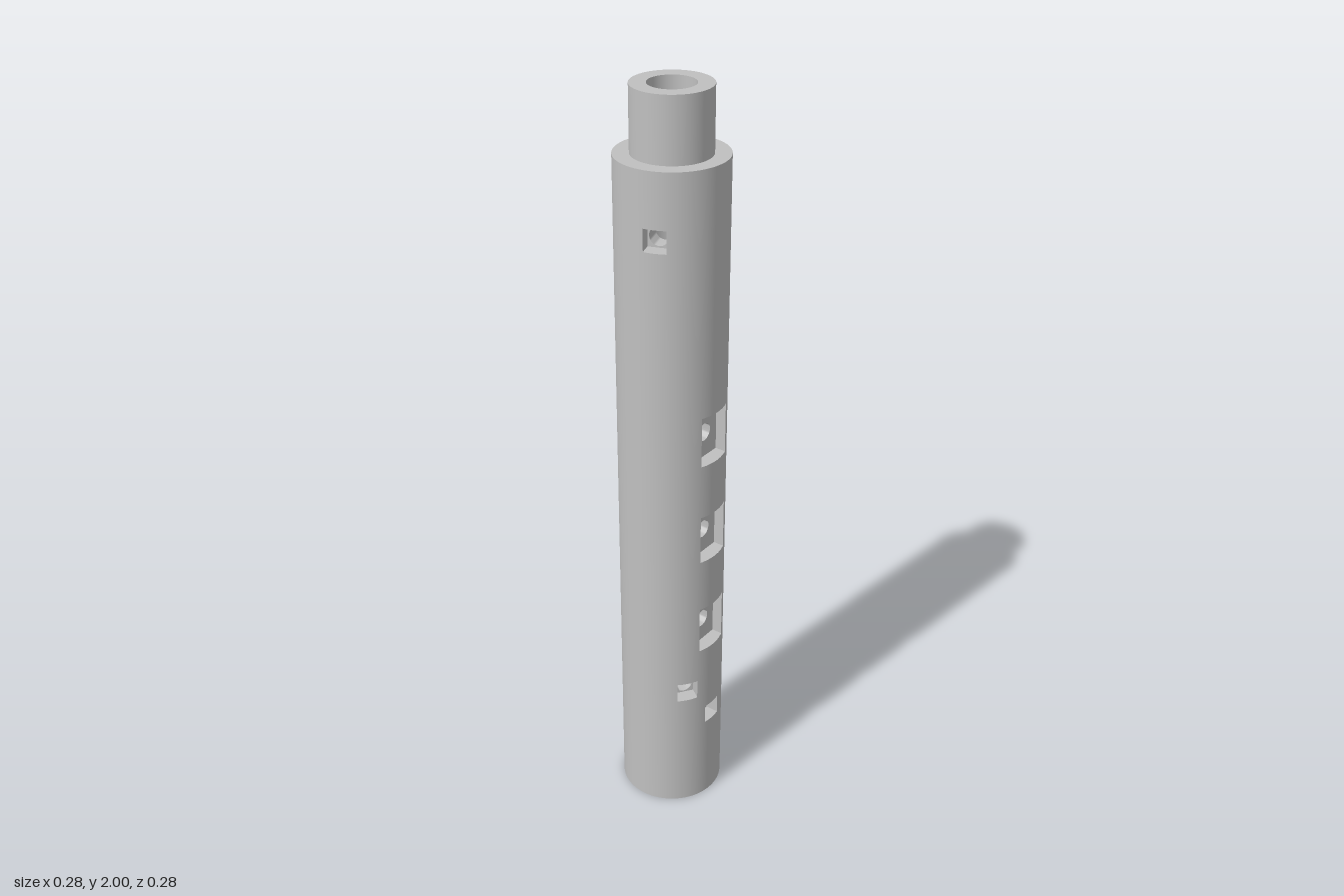
import * as THREE from 'three';
import { toCreasedNormals } from 'three/addons/utils/BufferGeometryUtils.js';

const BODY_R = 0.138, TENON_R = 0.098, BORE_R = 0.058, SOCKET_R = 0.1;
const SOCKET_Y = 0.165, SHOULDER_Y = 1.84, TOP_Y = 2;
const FLOOR = 0.1; // distance of the flat pocket floors from the axis
const TAU = Math.PI * 2, SIDES = 96, STEPS = 32;
const FINGER_R = 0.024, PIN_R = 0.014, MARGIN = 0.002;

// Pockets: angle in degrees from the front towards +x, height, half width, half height
const POCKETS = [
  ...[1.145, 0.86, 0.575].map((y) => ({ deg: 0, y, hu: 0.05, hv: 0.068 })),
  { deg: 180, y: 0.64, hu: 0.05, hv: 0.068 },
  ...[1.595, 1.475, 1.35, 1.23].map((y) => ({ deg: 90, y, hu: 0.028, hv: 0.028 })),
  ...[[0, 0.28], [-35, 0.38], [60, 1.05], [-70, 1.675], [180, 0.41]]
    .map(([deg, y]) => ({ deg, y, hu: 0.028, hv: 0.028 })),
];
const hole = (deg, y, r) => ({ deg, y, r, hu: r + MARGIN, hv: r + MARGIN });
const FINGER_HOLES = POCKETS.map((p) => hole(p.deg, p.y, FINGER_R));
const TENON_PIN = hole(180, 1.917, PIN_R);
const SOCKET_PIN = hole(180, 0.083, PIN_R);

function quadGeometry(quads) {
  const pos = [];
  for (const [a, b, c, d] of quads) for (const p of [a, b, c, a, c, d]) pos.push(...p);
  const geo = new THREE.BufferGeometry();
  geo.setAttribute('position', new THREE.Float32BufferAttribute(pos, 3));
  return geo;
}

// Smooth normals pointing away from the axis (sign 1) or towards it (sign -1)
function radialNormals(geo, sign) {
  const p = geo.attributes.position, n = [];
  for (let i = 0; i < p.count; i++) {
    const l = Math.hypot(p.getX(i), p.getZ(i)) * sign;
    n.push(p.getX(i) / l, 0, p.getZ(i) / l);
  }
  geo.setAttribute('normal', new THREE.Float32BufferAttribute(n, 3));
  return geo;
}

// Cylinder wall that leaves out the bounding rectangle of each opening
function wallGeometry(R, y0, y1, openings, sign) {
  const boxes = openings.map((o) => ({
    a: THREE.MathUtils.degToRad(o.deg), y: o.y, ha: Math.asin(o.hu / R), hv: o.hv,
  }));
  const unique = (list) => list.sort((a, b) => a - b).filter((v, i, s) => i === 0 || v - s[i - 1] > 1e-6);
  const wrap = (a) => ((a % TAU) + TAU) % TAU;
  const angles = unique([
    ...Array.from({ length: SIDES }, (_, i) => (i / SIDES) * TAU),
    ...boxes.flatMap((b) => [wrap(b.a - b.ha), wrap(b.a + b.ha)]),
  ]);
  angles.push(angles[0] + TAU);
  const ys = unique([y0, y1, ...boxes.flatMap((b) => [b.y - b.hv, b.y + b.hv])]);
  const at = (a, y) => [R * Math.sin(a), y, R * Math.cos(a)];
  const quads = [];
  for (let i = 0; i < angles.length - 1; i++) {
    for (let j = 0; j < ys.length - 1; j++) {
      const [a, b, c, d] = [angles[i], angles[i + 1], ys[j], ys[j + 1]];
      const ma = (a + b) / 2, my = (c + d) / 2;
      const open = boxes.some((o) =>
        Math.abs(wrap(ma - o.a + Math.PI) - Math.PI) < o.ha && Math.abs(my - o.y) < o.hv);
      if (open) continue;
      const q = [at(a, c), at(b, c), at(b, d), at(a, d)];
      quads.push(sign > 0 ? q : q.reverse());
    }
  }
  return radialNormals(quadGeometry(quads), sign);
}

// Closed outlines, counter-clockwise, with matching points
const steps = Array.from({ length: STEPS }, (_, i) => (i / STEPS) * TAU);
const circle = (r) => steps.map((t) => [r * Math.cos(t), r * Math.sin(t)]);
const rect = (hu, hv) => steps.map((t) => {
  const c = Math.cos(t), s = Math.sin(t), m = Math.max(Math.abs(c), Math.abs(s));
  return [(hu * c) / m, (hv * s) / m];
});
const onCylinder = (R) => ([u, v]) => [u, v, Math.sqrt(R * R - u * u)];
const onPlane = (w) => ([u, v]) => [u, v, w];

// Band of quads between two matching loops
function loft(from, to, flip = false) {
  return quadGeometry(from.map((a, i) => {
    const k = (i + 1) % from.length;
    const q = [a, from[k], to[k], to[i]];
    return flip ? q.reverse() : q;
  }));
}
const drilled = (outline, outer, inner) =>
  toCreasedNormals(loft(outline.map(outer), outline.map(inner)), 0.6);

// Curved patch between a round hole and the rectangle left out of the wall
const patch = (h, R, sign) => radialNormals(
  loft(rect(h.hu, h.hv).map(onCylinder(R)), circle(h.r).map(onCylinder(R)), sign < 0), sign);

export function createModel() {
  const model = new THREE.Group();
  model.name = 'slottedTube';
  const grey = new THREE.MeshStandardMaterial({ color: 0xc0c0c0 });
  grey.name = 'grey';

  const add = (name, geo, parent = model) => {
    const mesh = new THREE.Mesh(geo, grey);
    mesh.name = name;
    parent.add(mesh);
    return mesh;
  };
  const station = (name, { deg, y }) => {
    const g = new THREE.Group();
    g.name = name;
    g.rotation.y = THREE.MathUtils.degToRad(deg);
    g.position.y = y;
    model.add(g);
    return g;
  };
  const ring = (name, inner, outer, y, up) => {
    const geo = new THREE.RingGeometry(inner, outer, SIDES);
    add(name, geo.rotateX(up ? -Math.PI / 2 : Math.PI / 2)).position.y = y;
  };

  // Tube walls
  add('bodyWall', wallGeometry(BODY_R, 0, SHOULDER_Y, [...POCKETS, SOCKET_PIN], 1));
  add('tenonWall', wallGeometry(TENON_R, SHOULDER_Y, TOP_Y, [TENON_PIN], 1));
  add('boreWall', wallGeometry(BORE_R, SOCKET_Y, TOP_Y, [...FINGER_HOLES, TENON_PIN], -1));
  add('socketWall', wallGeometry(SOCKET_R, 0, SOCKET_Y, [SOCKET_PIN], -1));

  // Flat end faces and steps
  ring('bottomRim', SOCKET_R, BODY_R, 0, false);
  ring('socketStep', BORE_R, SOCKET_R, SOCKET_Y, false);
  ring('shoulder', TENON_R, BODY_R, SHOULDER_Y, true);
  ring('topRim', BORE_R, TENON_R, TOP_Y, true);

  // Pockets with flat floors, each drilled through to the bore
  POCKETS.forEach((p, i) => {
    const g = station('pocket', p);
    add('pocketWalls', drilled(rect(p.hu, p.hv), onCylinder(BODY_R), onPlane(FLOOR)), g);
    const floor = loft(rect(p.hu, p.hv).map(onPlane(FLOOR)), circle(FINGER_R).map(onPlane(FLOOR)));
    floor.computeVertexNormals();
    add('pocketFloor', floor, g);
    add('holeWall', drilled(circle(FINGER_R), onPlane(FLOOR), onCylinder(BORE_R)), g);
    add('boreOpening', patch(FINGER_HOLES[i], BORE_R, -1), g);
  });

  // Small pin holes through the tenon and the socket
  for (const [name, pin, outer, inner] of [
    ['tenonPinHole', TENON_PIN, TENON_R, BORE_R],
    ['socketPinHole', SOCKET_PIN, BODY_R, SOCKET_R],
  ]) {
    const g = station(name, pin);
    add('outerOpening', patch(pin, outer, 1), g);
    add('holeWall', drilled(circle(pin.r), onCylinder(outer), onCylinder(inner)), g);
    add('innerOpening', patch(pin, inner, -1), g);
  }
  return model;
}
